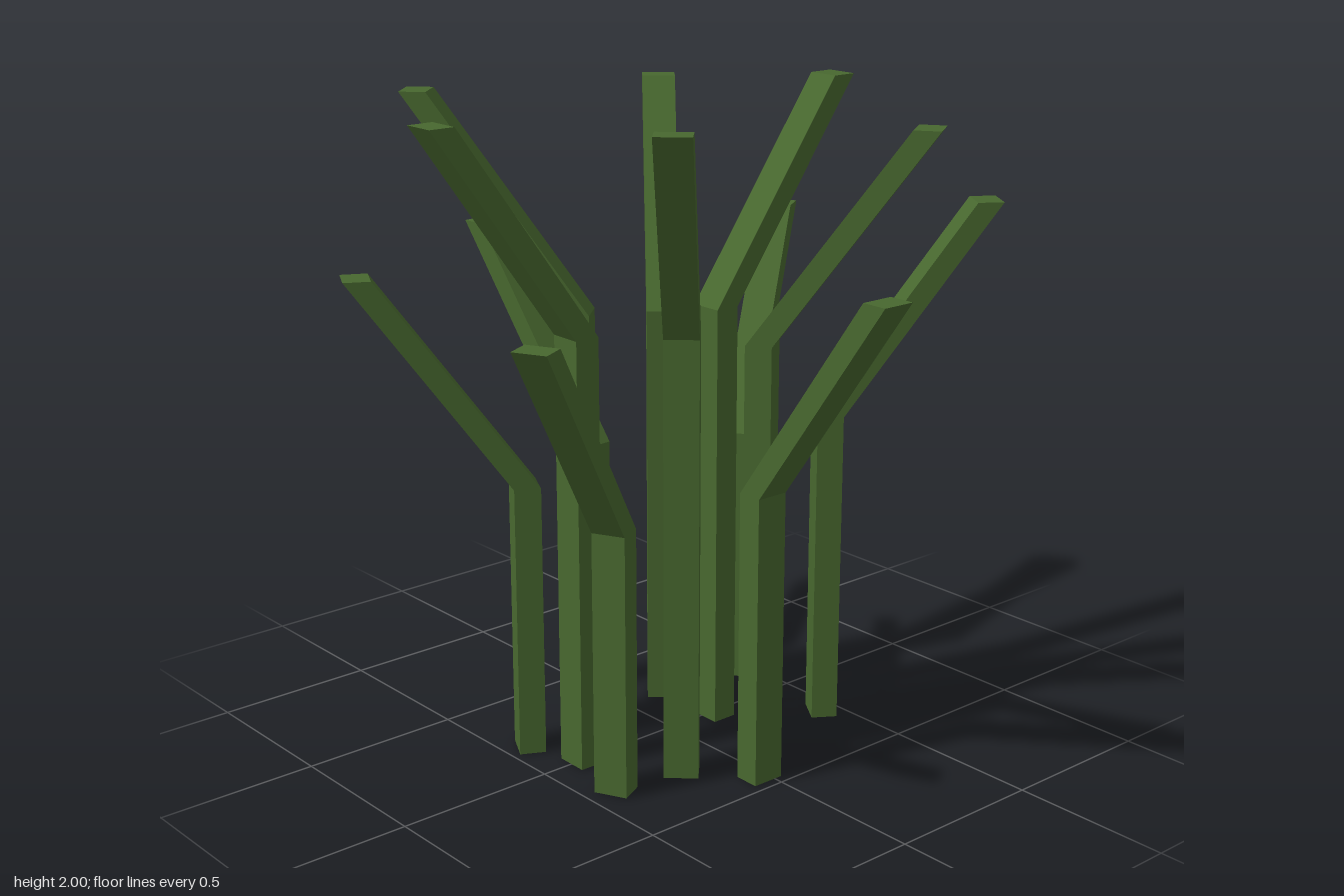
import * as THREE from 'three';

const WIDTH = 0.103; // across the stalk
const DEPTH = 0.08;  // along its lean
const LEAN = 0.47;   // outward travel of the upper half
const RISE = 0.65;   // height of the upper half

// Stalks: [inner foot x, z, tip x, z, bend height]
const STALKS = [
  [0.39, 0.025, 0.94, 0.03, 0.895],
  [0.229, 0.154, 0.623, 0.533, 1.35],
  [0.199, 0.366, 0.441, 0.856, 0.81],
  [0.002, 0.318, -0.005, 0.868, 1.33],
  [-0.161, 0.381, -0.416, 0.866, 0.85],
  [-0.182, 0.154, -0.59, 0.518, 1.33],
  [-0.39, -0.03, -0.94, 0.02, 0.825],
  [-0.182, -0.126, -0.61, -0.47, 1.285],
  [-0.161, -0.411, -0.454, -0.876, 0.84],
  [0.013, -0.126, 0.013, -0.676, 1.335],
  [0.197, -0.407, 0.499, -0.864, 0.99],
  [0.207, -0.121, 0.661, -0.427, 1.27],
];

// Upright post that bends outward and ends in a level cut
function stalkGeometry(bend) {
  const profile = new THREE.Shape([
    [0, 0], [DEPTH, 0], [DEPTH, bend],
    [DEPTH + LEAN, bend + RISE], [LEAN, bend + RISE], [0, bend],
  ].map(([x, y]) => new THREE.Vector2(x, y)));
  const geometry = new THREE.ExtrudeGeometry(profile, { depth: WIDTH, bevelEnabled: false });
  return geometry.translate(0, 0, -WIDTH / 2);
}

export function createModel() {
  const model = new THREE.Group();
  model.name = 'stalkCluster';
  const green = new THREE.MeshStandardMaterial({ color: 0x48682f, flatShading: true });

  STALKS.forEach(([x, z, tipX, tipZ, bend], i) => {
    const stalk = new THREE.Mesh(stalkGeometry(bend), green);
    stalk.name = `stalk${i + 1}`;
    stalk.position.set(x, 0, z);
    stalk.rotation.y = Math.atan2(z - tipZ, tipX - x);
    model.add(stalk);
  });
  return model;
}
